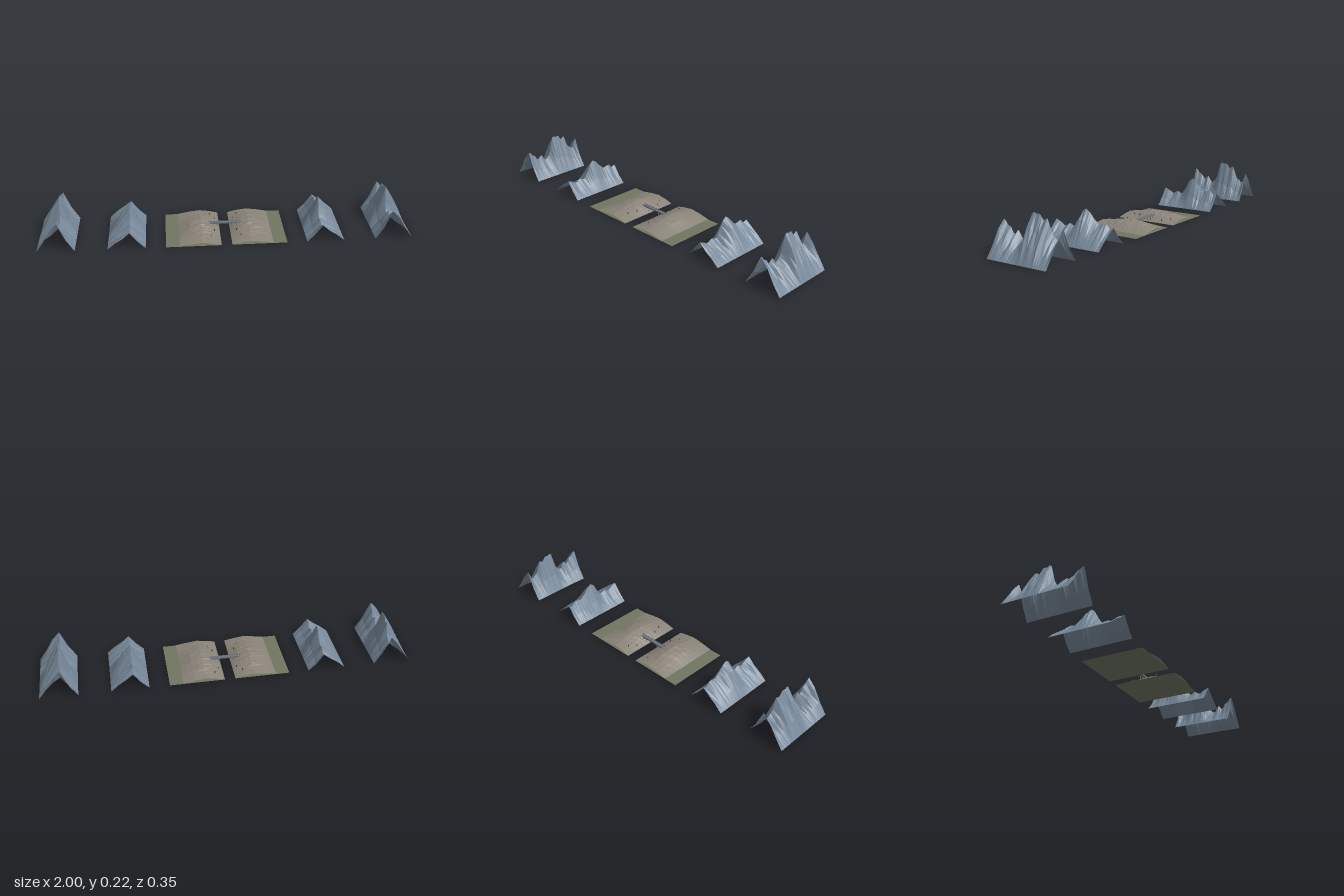
import * as THREE from 'three';

const DEPTH = 0.355;
const ROWS = 32;

// repeatable value in -1..1 for a grid point
const noise = (a, b) => {
  const n = Math.sin(a * 127.1 + b * 311.7) * 43758.5453;
  return (n - Math.floor(n)) * 2 - 1;
};

const material = (color, flatShading = true) =>
  new THREE.MeshStandardMaterial({ color, flatShading, roughness: 0.9, side: THREE.DoubleSide });

// piecewise linear lookup in [position, value] pairs with rising positions
function lookup(points, t) {
  for (let i = 1; i < points.length; i++) {
    const [a, va] = points[i - 1], [b, vb] = points[i];
    if (t <= b) return va + (vb - va) * Math.max(0, (t - a) / (b - a));
  }
  return points[points.length - 1][1];
}

// sheet whose columns are listed from the middle outwards; side mirrors it
function sheet(name, columns, side, heightAt, mat) {
  const last = columns.length - 1;
  const geometry = new THREE.PlaneGeometry(1, DEPTH, last, ROWS).rotateX(-Math.PI / 2);
  const p = geometry.attributes.position;
  for (let i = 0; i < p.count; i++) {
    const c = i % (last + 1), row = Math.floor(i / (last + 1));
    const k = side > 0 ? c : last - c;
    p.setX(i, side * columns[k]);
    p.setY(i, heightAt(k, row, p.getZ(i)));
  }
  geometry.computeVertexNormals();
  const mesh = new THREE.Mesh(geometry, mat);
  mesh.name = name;
  return mesh;
}

// ridge heights from back (-z) to front (+z)
const outerRidge = [
  [-0.178, 0.165], [-0.165, 0.135], [-0.155, 0.108], [-0.145, 0.107], [-0.133, 0.118],
  [-0.122, 0.125], [-0.11, 0.14], [-0.1, 0.17], [-0.09, 0.2], [-0.08, 0.198], [-0.066, 0.187],
  [-0.045, 0.215], [-0.022, 0.213], [-0.011, 0.22], [0, 0.213], [0.011, 0.175], [0.022, 0.13],
  [0.033, 0.108], [0.045, 0.095], [0.055, 0.087], [0.067, 0.087], [0.078, 0.11], [0.089, 0.125],
  [0.11, 0.1], [0.122, 0.11], [0.133, 0.13], [0.155, 0.142], [0.167, 0.16], [0.178, 0.165],
];
const innerRidge = [
  [-0.178, 0.095], [-0.155, 0.085], [-0.13, 0.11], [-0.09, 0.1], [-0.06, 0.125], [-0.035, 0.155],
  [-0.01, 0.17], [0.01, 0.155], [0.03, 0.115], [0.06, 0.07], [0.09, 0.085], [0.12, 0.065],
  [0.15, 0.085], [0.178, 0.095],
];

// share of the ridge height per column, inner foot to outer foot
const slope = [0, 0.42, 1, 0.69, 0.36, 0];

function mountain(name, innerX, ridge, side, mat) {
  const columns = slope.map((_, k) => innerX + k * 0.04);
  return sheet(name, columns, side, (k, row, z) => {
    const rough = k === 2 ? 0 : 0.09 * noise(k + innerX * 10, row);
    return lookup(ridge, z) * slope[k] * (1 + rough);
  }, mat);
}

// rocky hump beside the gap: share of crest height across, crest height along
const humpX = [0.03, 0.05, 0.075, 0.1, 0.13, 0.16, 0.19, 0.22, 0.25];
const humpShare = [0.02, 0.3, 0.6, 0.82, 1, 0.88, 0.68, 0.36, 0.02];
const humpCrest = [
  [-0.178, 0.018], [-0.13, 0.026], [-0.08, 0.036], [-0.03, 0.043], [0.02, 0.044],
  [0.06, 0.037], [0.11, 0.026], [0.178, 0.017],
];

function box(name, w, h, d, x, y, z, mat) {
  const mesh = new THREE.Mesh(new THREE.BoxGeometry(w, h, d), mat);
  mesh.name = name;
  mesh.position.set(x, y, z);
  return mesh;
}

export function createModel() {
  const model = new THREE.Group();
  model.name = 'valley';
  const slate = material(0x778899);
  const rock = material(0x8a8378);
  const grass = material(0x6f7660);
  const stone = material(0x6e757e);
  const dark = material(0x45423c);

  for (const side of [1, -1]) {
    const label = side > 0 ? 'left' : 'right';

    // mountain ranges
    model.add(mountain(`${label}OuterMountains`, 0.8, outerRidge, side, slate));
    model.add(mountain(`${label}InnerMountains`, 0.43, innerRidge, side, slate));

    // flat ground and rocky bank
    const ground = new THREE.Mesh(new THREE.PlaneGeometry(0.295, DEPTH).rotateX(-Math.PI / 2), grass);
    ground.name = `${label}Ground`;
    ground.position.x = side * 0.1755;
    model.add(ground);
    model.add(sheet(`${label}Bank`, humpX, side, (k, row, z) =>
      0.0008 + lookup(humpCrest, z) * humpShare[k] * (1 + 0.07 * noise(k, row)), rock));

    // small stumps on the bank
    const stumps = new THREE.Group();
    stumps.name = `${label}Stumps`;
    [[0.05, -0.09], [0.075, -0.13], [0.06, 0.06], [0.08, 0.11]].forEach(([x, z]) => {
      const stump = new THREE.Mesh(new THREE.CylinderGeometry(0.002, 0.003, 0.012, 6), dark);
      stump.position.set(side * x, 0.6 * lookup(humpCrest, z) * (x < 0.06 ? 0.5 : 1) + 0.004, z);
      stumps.add(stump);
    });
    model.add(stumps);
  }

  // bridge over the gap
  const bridge = new THREE.Group();
  bridge.name = 'bridge';
  bridge.add(box('deck', 0.19, 0.005, 0.02, -0.004, 0.028, -0.015, stone));
  for (const z of [-0.0245, -0.0055]) {
    bridge.add(box('rail', 0.19, 0.004, 0.0015, -0.004, 0.0315, z, stone));
    for (const x of [-0.06, -0.04, 0.04, 0.06]) {
      bridge.add(box('post', 0.003, 0.027, 0.003, x, 0.0135, z, stone));
    }
  }
  model.add(bridge);
  return model;
}
